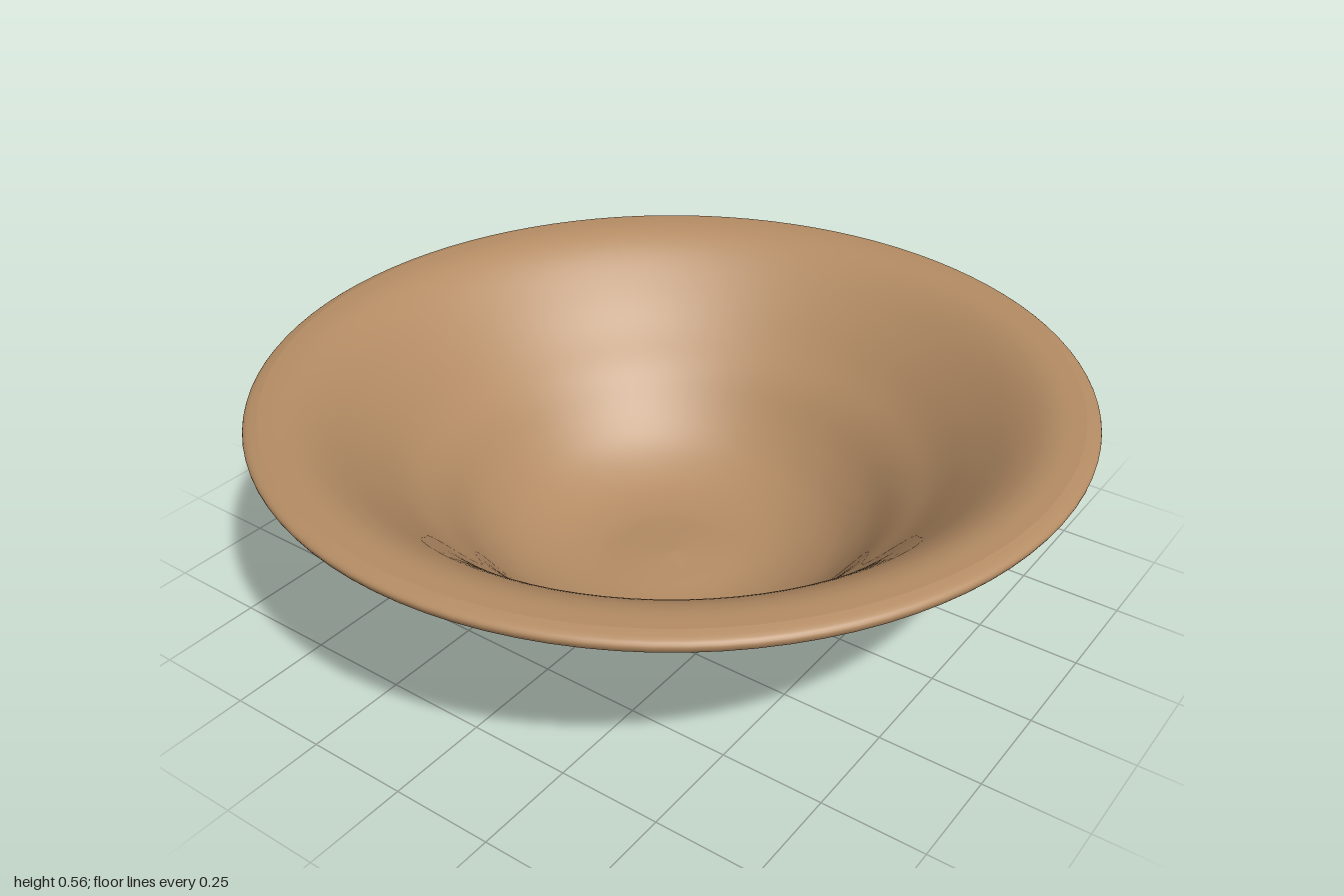
import * as THREE from 'three';

// Smooth curve through a few [radius, height] pairs
const smooth = (pairs, n) =>
  new THREE.SplineCurve(pairs.map(([r, y]) => new THREE.Vector2(r, y))).getPoints(n);

export function createModel() {
  const group = new THREE.Group();
  group.name = 'bowl';
  const clay = new THREE.MeshStandardMaterial({ color: 0xb48c64, side: THREE.DoubleSide });

  const addLathe = (name, points) => {
    for (const p of points) p.x = Math.max(p.x, 0);
    const mesh = new THREE.Mesh(new THREE.LatheGeometry(points, 96), clay);
    mesh.name = name;
    group.add(mesh);
  };

  // Underside: faintly hollow foot, rounded belly, flaring wall
  addLathe('outerWall', smooth([
    [0, 0.015], [0.1, 0.01], [0.2, 0.002], [0.3, 0.02], [0.4, 0.07], [0.48, 0.14],
    [0.56, 0.235], [0.64, 0.31], [0.72, 0.39], [0.8, 0.465], [0.86, 0.512], [0.9, 0.525], [0.985, 0.525],
  ], 64));

  // Rounded lip edge
  addLathe('rimEdge', smooth([
    [0.985, 0.525], [0.994, 0.53], [1, 0.545], [0.99, 0.556], [0.965, 0.563],
  ], 12));

  // Inside: gently rolled rim, sloping wall, low rise in the middle of the floor
  addLathe('innerWall', smooth([
    [0.965, 0.563], [0.91, 0.561], [0.86, 0.545], [0.8, 0.506], [0.72, 0.435], [0.64, 0.355],
    [0.56, 0.28], [0.48, 0.185], [0.4, 0.113], [0.3, 0.062], [0.2, 0.042], [0.1, 0.047], [0, 0.055],
  ], 64));

  return group;
}
